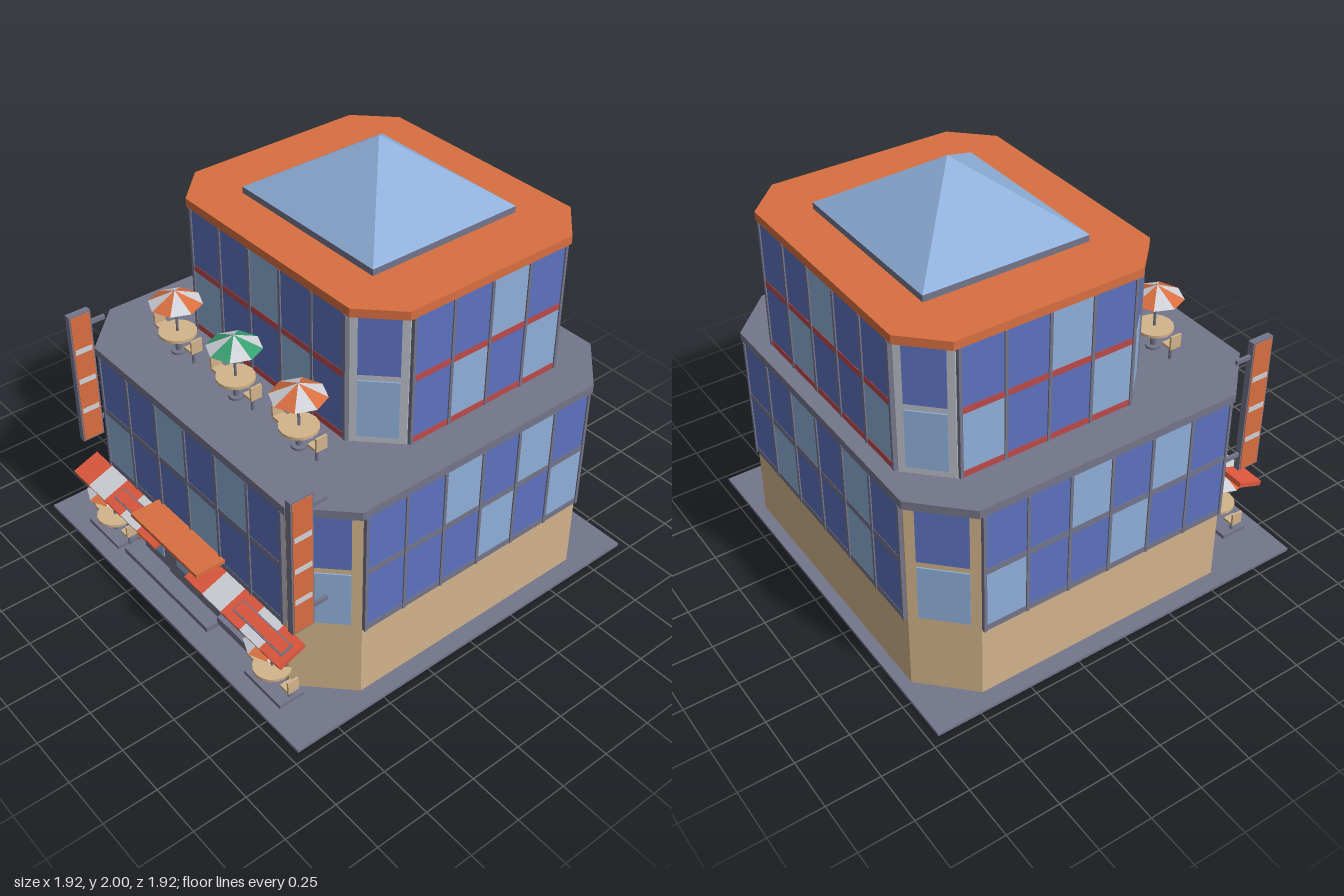
import * as THREE from 'three';

const mat = (name, color) => {
  const m = new THREE.MeshStandardMaterial({ color });
  m.name = name;
  return m;
};
const M = {
  gray: mat('slate gray', 0x74768b), tan: mat('sandstone', 0xd3b48b),
  dark: mat('deep blue glass', 0x5d72bf), light: mat('pale blue glass', 0x8fafd9),
  orange: mat('orange', 0xd96f41), red: mat('awning red', 0xe0583e),
  band: mat('band red', 0xbc4a4a), white: mat('off white', 0xd0d2d8),
  green: mat('green', 0x3a9f74), pale: mat('pale gray', 0xb9bcc6),
};

function add(parent, name, geo, material, x = 0, y = 0, z = 0) {
  const mesh = new THREE.Mesh(geo, material);
  mesh.name = name;
  mesh.position.set(x, y, z);
  parent.add(mesh);
  return mesh;
}
const box = (p, name, m, w, h, d, x, y, z) => add(p, name, new THREE.BoxGeometry(w, h, d), m, x, y, z);
const cyl = (p, name, m, r, h, x, y, z, n = 12) => add(p, name, new THREE.CylinderGeometry(r, r, h, n), m, x, y, z);

function group(parent, name, x = 0, y = 0, z = 0, turn = 0) {
  const g = new THREE.Group();
  g.name = name;
  g.position.set(x, y, z);
  g.rotation.y = turn;
  parent.add(g);
  return g;
}

// Rectangular block with cut corners, from y0 to y1
function octagon(parent, name, m, hx, hz, c, y0, y1, zc) {
  const pts = [[hx, c - hz], [hx, hz - c], [hx - c, hz], [c - hx, hz], [-hx, hz - c], [-hx, c - hz], [c - hx, -hz], [hx - c, -hz]];
  const geo = new THREE.ExtrudeGeometry(new THREE.Shape(pts.map(p => new THREE.Vector2(...p))), { depth: y1 - y0, bevelEnabled: false });
  geo.rotateX(-Math.PI / 2);
  add(parent, name, geo, m, 0, y0, zc);
}

// Window wall facing local +z: two rows of panes, L for pale and D for deep glass
function windowWall(g, pitch, rows, y0, y1, rail) {
  const n = rows[0].length, w = pitch * n, h = (y1 - y0) / 2;
  box(g, 'windowBacking', M.gray, w, y1 - y0, 0.008, 0, (y0 + y1) / 2, 0.004);
  rows.forEach((row, r) => {
    const bottom = r === 0 ? y0 + h : y0;
    [...row].forEach((k, i) => box(g, 'windowPane', k === 'L' ? M.light : M.dark,
      pitch - 0.014, h - 0.03, 0.006, (i + 0.5) * pitch - w / 2, bottom + 0.03 + (h - 0.03) / 2, 0.009));
    box(g, 'windowRail', rail, w, 0.03, 0.014, 0, bottom + 0.015, 0.007);
  });
  for (let i = 0; i <= n; i++) box(g, 'mullion', M.gray, 0.014, y1 - y0, 0.018, i * pitch - w / 2, (y0 + y1) / 2, 0.009);
}

// One storey block: walls, roof slab, four window walls, glazed cut corners
function block(parent, name, o) {
  const g = group(parent, name);
  octagon(g, 'walls', o.wall, o.hx, o.hz, o.c, o.base, o.top, o.zc);
  octagon(g, 'roofSlab', o.roof, o.hx + 0.015, o.hz + 0.015, o.c, o.top, o.top + 0.04, o.zc);
  o.sides.forEach((rows, i) => {
    const a = i * Math.PI / 2, s = Math.sin(a), c = Math.cos(a);
    const side = group(g, 'windowWall', s * o.hx, 0, o.zc + c * o.hz, a);
    windowWall(side, i % 2 ? o.pitchZ : o.pitchX, rows, o.y0, o.top, o.rail);
  });
  const h = (o.top - o.y0) / 2;
  for (const sx of [-1, 1]) for (const sz of [-1, 1]) {
    const corner = group(g, 'cornerWindow', sx * (o.hx - o.c / 2), 0, o.zc + sz * (o.hz - o.c / 2), Math.atan2(sx, sz));
    box(corner, 'upperPane', M.dark, o.cornerW, h - 0.03, 0.006, 0, o.y0 + h * 1.5 + 0.012, 0.003);
    box(corner, 'lowerPane', M.light, o.cornerW, h - 0.03, 0.006, 0, o.y0 + h * 0.5 + 0.012, 0.003);
  }
}

// Cafe table with two chairs and a striped eight-sided umbrella
function cafeTable(parent, x, y, z, color) {
  const g = group(parent, 'cafeTable', x, y, z);
  cyl(g, 'tableFoot', M.gray, 0.035, 0.012, 0, 0.006, 0);
  cyl(g, 'tableLeg', M.gray, 0.014, 0.1, 0, 0.05, 0, 8);
  cyl(g, 'tableTop', M.tan, 0.085, 0.014, 0, 0.102, 0, 16);
  cyl(g, 'umbrellaPole', M.gray, 0.006, 0.2, 0, 0.18, 0, 8);
  for (let i = 0; i < 8; i++) {
    const geo = new THREE.ConeGeometry(0.12, 0.06, 1, 1, false, i * Math.PI / 4, Math.PI / 4).toNonIndexed();
    geo.computeVertexNormals();
    add(g, 'umbrellaPanel', geo, i % 2 ? M.white : color, 0, 0.285, 0);
  }
  cyl(g, 'umbrellaTip', M.white, 0.005, 0.015, 0, 0.317, 0, 6);
  for (const s of [-1, 1]) {
    const chair = group(g, 'chair', s * 0.115, 0, 0);
    cyl(chair, 'chairLeg', M.gray, 0.008, 0.07, 0, 0.035, 0, 8);
    box(chair, 'chairSeat', M.tan, 0.056, 0.012, 0.055, 0, 0.075, 0);
    box(chair, 'chairBack', M.tan, 0.01, 0.065, 0.055, s * 0.025, 0.102, 0);
  }
}

// Sloping striped awning with a name-board blank lying on it
function awning(parent, x, boardX) {
  const g = group(parent, 'awning', x, 0.335, 0.845);
  g.rotation.x = 0.36;
  for (let i = 0; i < 5; i++) box(g, 'awningStripe', i % 2 ? M.white : M.red, 0.133, 0.024, 0.14, (i - 2) * 0.133, 0, 0);
  box(g, 'boardFrame', M.gray, 0.33, 0.016, 0.062, boardX, 0.014, 0);
  box(g, 'board', M.red, 0.318, 0.016, 0.05, boardX, 0.017, 0);
}

// Framed glass standing on the front wall
function frontGlass(parent, name, x0, x1, y0, y1, z) {
  const w = x1 - x0, h = y1 - y0, x = (x0 + x1) / 2, y = (y0 + y1) / 2;
  box(parent, name + 'Frame', M.gray, w + 0.024, h + 0.024, 0.01, x, y, z);
  box(parent, name, M.light, w, h, 0.006, x, y, z + 0.005);
}

export function createModel() {
  const root = new THREE.Group();
  root.name = 'cafeBuilding';
  box(root, 'groundSlab', M.gray, 1.92, 0.015, 1.92, 0, 0.0075, 0);

  // Lower and upper storeys; sides run front, +x, back, -x
  block(root, 'lowerBlock', {
    hx: 0.88, hz: 0.84, c: 0.215, zc: -0.065, base: 0.015, top: 0.99, y0: 0.38,
    wall: M.tan, roof: M.gray, rail: M.gray, pitchX: 0.217, pitchZ: 0.206, cornerW: 0.215,
    sides: [['DDLDLD', 'LDDLDD'], ['DDLDLD', 'DDDLDL'], ['DDLDLD', 'DLDDLD'], ['DDLDLD', 'LDDLDD']],
  });
  block(root, 'upperBlock', {
    hx: 0.69, hz: 0.588, c: 0.165, zc: -0.2475, base: 1.03, top: 1.645, y0: 1.035,
    wall: M.pale, roof: M.orange, rail: M.band, pitchX: 0.205, pitchZ: 0.206, cornerW: 0.17,
    sides: [['DDLDD', 'LDDLD'], ['DDLD', 'DLDL'], ['DDLDD', 'DLDDL'], ['DDLD', 'LDDL']],
  });

  // Pyramid skylight
  box(root, 'skylightCurb', M.gray, 0.85, 0.03, 0.78, 0, 1.7, -0.25);
  let geo = new THREE.ConeGeometry(Math.SQRT1_2, 0.285, 4);
  geo.rotateY(Math.PI / 4).scale(0.85, 1, 0.78);
  geo = geo.toNonIndexed();
  geo.computeVertexNormals();
  add(root, 'skylight', geo, M.light, 0, 1.8575, -0.25);

  // Entrance, shop windows and steps
  const shop = group(root, 'shopFront');
  box(shop, 'entranceSurround', M.gray, 0.61, 0.35, 0.012, -0.105, 0.195, 0.779);
  box(shop, 'doorBlock', M.gray, 0.4, 0.35, 0.02, 0, 0.195, 0.783);
  for (const s of [-1, 1]) box(shop, 'doorGlass', M.light, 0.108, 0.235, 0.006, s * 0.075, 0.245, 0.794);
  for (const x of [-0.352, -0.278]) box(shop, 'sideDoorGlass', M.light, 0.065, 0.2, 0.006, x, 0.195, 0.787);
  frontGlass(shop, 'shopWindow', 0.21, 0.42, 0.07, 0.29, 0.779);
  frontGlass(shop, 'leftCafeWindow', 0.52, 0.645, 0.07, 0.29, 0.779);
  frontGlass(shop, 'rightCafeWindow', -0.645, -0.52, 0.07, 0.29, 0.779);
  box(shop, 'entranceStep', M.gray, 0.66, 0.028, 0.1, -0.13, 0.028, 0.82);
  box(shop, 'windowSill', M.gray, 0.24, 0.04, 0.04, 0.315, 0.05, 0.79);
  box(shop, 'entranceCanopy', M.orange, 0.5, 0.018, 0.15, 0, 0.43, 0.86);
  box(shop, 'canopyUnderside', M.gray, 0.48, 0.008, 0.14, 0, 0.418, 0.855);
  awning(shop, -0.4525, 0.13);
  awning(shop, 0.4525, 0.14);

  // Hanging signs on brackets
  for (const s of [-1, 1]) {
    const sign = group(root, 'hangingSign', s * 0.785, 0.82, 0.797);
    box(sign, 'signBody', M.gray, 0.032, 0.69, 0.11, 0, 0, 0);
    for (const f of [-1, 1]) {
      box(sign, 'signPanel', M.orange, 0.004, 0.675, 0.096, f * 0.017, 0, 0);
      for (const y of [0.153, -0.008, -0.172]) box(sign, 'signStripe', M.white, 0.004, 0.026, 0.085, f * 0.019, y, 0);
    }
    for (const y of [0.27, -0.26]) box(sign, 'signBracket', M.gray, 0.014, 0.02, 0.12, 0, y, -0.07);
  }

  // Terrace and pavement tables
  [M.orange, M.green, M.orange].forEach((m, i) => cafeTable(root, (i - 1) * 0.425, 1.03, 0.515, m));
  for (const s of [-1, 1]) {
    box(root, 'pavementPlinth', M.gray, 0.25, 0.022, 0.13, s * 0.62, 0.024, 0.82);
    cafeTable(root, s * 0.61, 0.015, 0.82, M.orange);
  }
  return root;
}
